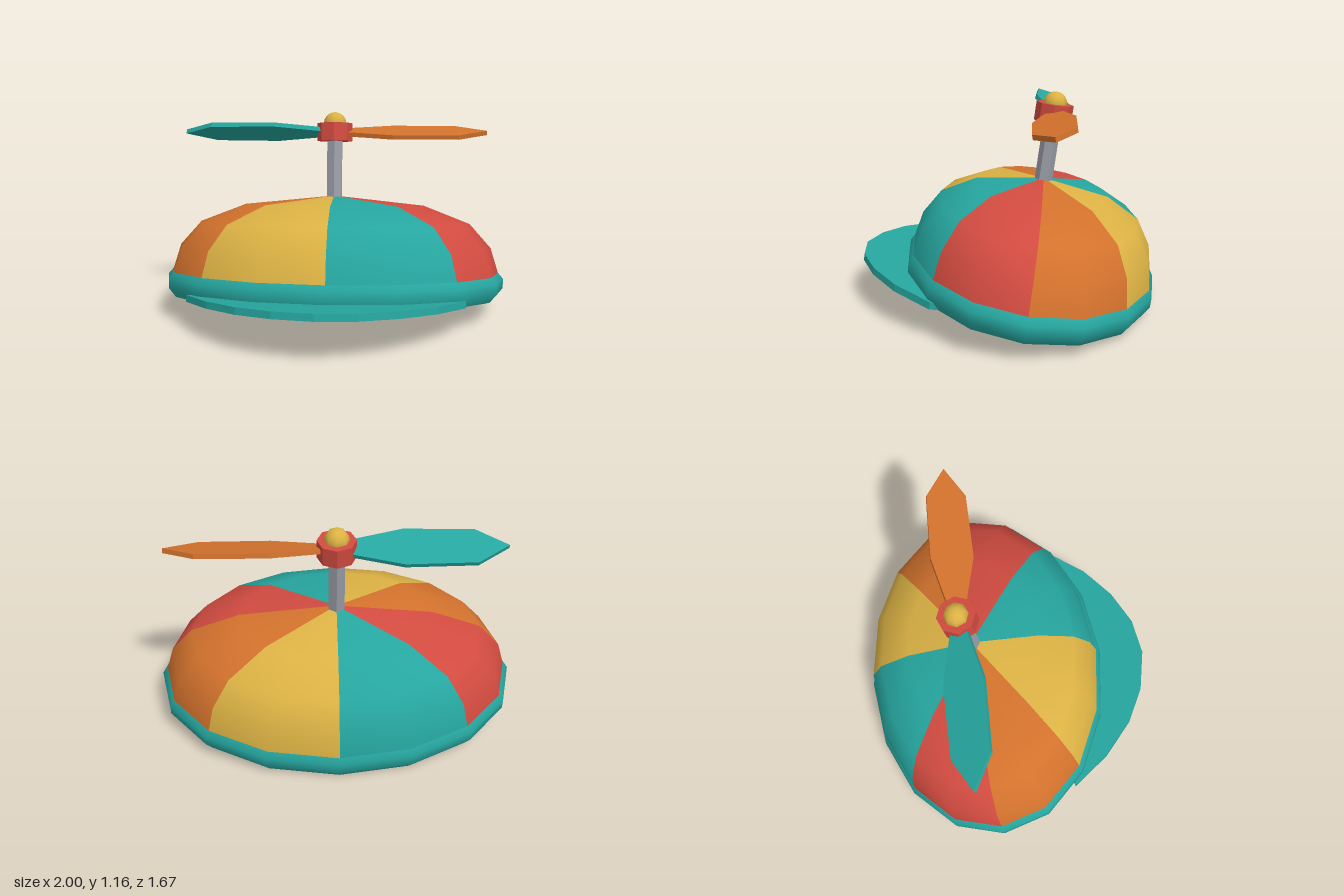
import * as THREE from 'three';

const mat = (name, color) => {
  const m = new THREE.MeshStandardMaterial({ color });
  m.name = name;
  return m;
};

export function createModel() {
  const teal = mat('teal', 0x26a69f);
  const red = mat('red', 0xd14b40);
  const orange = mat('orange', 0xd3722d);
  const yellow = mat('yellow', 0xdcb244);
  const grey = mat('grey', 0x9a9ea7);
  const black = mat('black', 0x15141a);

  const DEPTH = 0.71; // the cap is oval: depth relative to width
  const model = new THREE.Group();
  model.name = 'propellerCap';

  // Everything sits on a frame tipped back so the brim points upward
  const cap = new THREE.Group();
  cap.name = 'tiltedCap';
  cap.position.set(0, 0.097, -0.12);
  cap.rotation.x = -THREE.MathUtils.degToRad(8);
  model.add(cap);

  const add = (parent, name, geometry, material, y = 0) => {
    const mesh = new THREE.Mesh(geometry, material);
    mesh.name = name;
    mesh.position.y = y;
    parent.add(mesh);
    return mesh;
  };
  const profile = (pairs) => pairs.map(([r, y]) => new THREE.Vector2(r, y));

  // Dome: eight panels in four repeating colours
  const domeProfile = profile([[0.97, 0.14], [0.925, 0.284], [0.8, 0.425], [0.53, 0.53], [0, 0.585]]);
  const cycle = [teal, red, orange, yellow];
  for (let i = 0; i < 8; i++) {
    const panel = new THREE.LatheGeometry(domeProfile, 2, i * Math.PI / 4, Math.PI / 4);
    panel.scale(1, 1, DEPTH);
    add(cap, 'domePanel' + (i + 1), panel, cycle[i % 4]);
  }

  // Band around the base and the dark opening underneath
  const band = new THREE.LatheGeometry(profile([[0.96, 0], [1, 0.05], [1, 0.105], [0.97, 0.14]]), 16);
  band.scale(1, 1, DEPTH);
  add(cap, 'band', band, teal);
  const opening = new THREE.CircleGeometry(0.96, 16);
  opening.rotateX(Math.PI / 2);
  opening.scale(1, 1, DEPTH);
  add(cap, 'opening', opening, black);

  // Flat extrusion lying in the xz plane; outline points are [x, z]
  const slab = (points, thickness) => {
    const shape = new THREE.Shape(points.map(([x, z]) => new THREE.Vector2(x, -z)));
    const g = new THREE.ExtrudeGeometry(shape, { depth: thickness, bevelEnabled: false });
    return g.rotateX(-Math.PI / 2);
  };

  // Brim: slightly turned crescent whose inner edge tucks into the band
  const outer = [[-0.78, 0.447], [-0.625, 0.655], [-0.44, 0.82], [-0.246, 0.92], [-0.03, 0.967],
    [0.18, 0.937], [0.38, 0.84], [0.57, 0.69], [0.735, 0.483]];
  const inner = [];
  for (let i = 0; i <= 8; i++) {
    const a = (i / 8 - 0.5) * -1.75;
    inner.push([0.94 * Math.sin(a), 0.94 * DEPTH * Math.cos(a)]);
  }
  add(cap, 'brim', slab([...outer, ...inner], 0.038), teal, 0.003);

  // Pole
  const pole = new THREE.CylinderGeometry(0.05, 0.05, 0.4, 6).toNonIndexed();
  pole.computeVertexNormals();
  add(cap, 'pole', pole, grey, 0.74);

  // Propeller: hub, rounded knob and two pitched blades
  const propeller = new THREE.Group();
  propeller.name = 'propeller';
  propeller.position.y = 0.96;
  cap.add(propeller);

  const hub = new THREE.CylinderGeometry(0.104, 0.104, 0.105, 8).toNonIndexed();
  hub.computeVertexNormals();
  add(propeller, 'hub', hub, red);
  const knob = new THREE.SphereGeometry(0.067, 8, 4, 0, Math.PI * 2, 0, Math.PI / 2);
  add(propeller, 'knob', knob, yellow, 0.052);

  const blade = slab([[0.06, -0.045], [0.345, -0.115], [0.72, -0.108], [0.892, 0],
    [0.72, 0.108], [0.345, 0.115], [0.06, 0.045]], 0.026);
  blade.translate(0, -0.013, 0);
  blade.rotateX(THREE.MathUtils.degToRad(18));
  add(propeller, 'leftBlade', blade, orange);
  add(propeller, 'rightBlade', blade, teal).rotation.y = Math.PI;

  return model;
}
